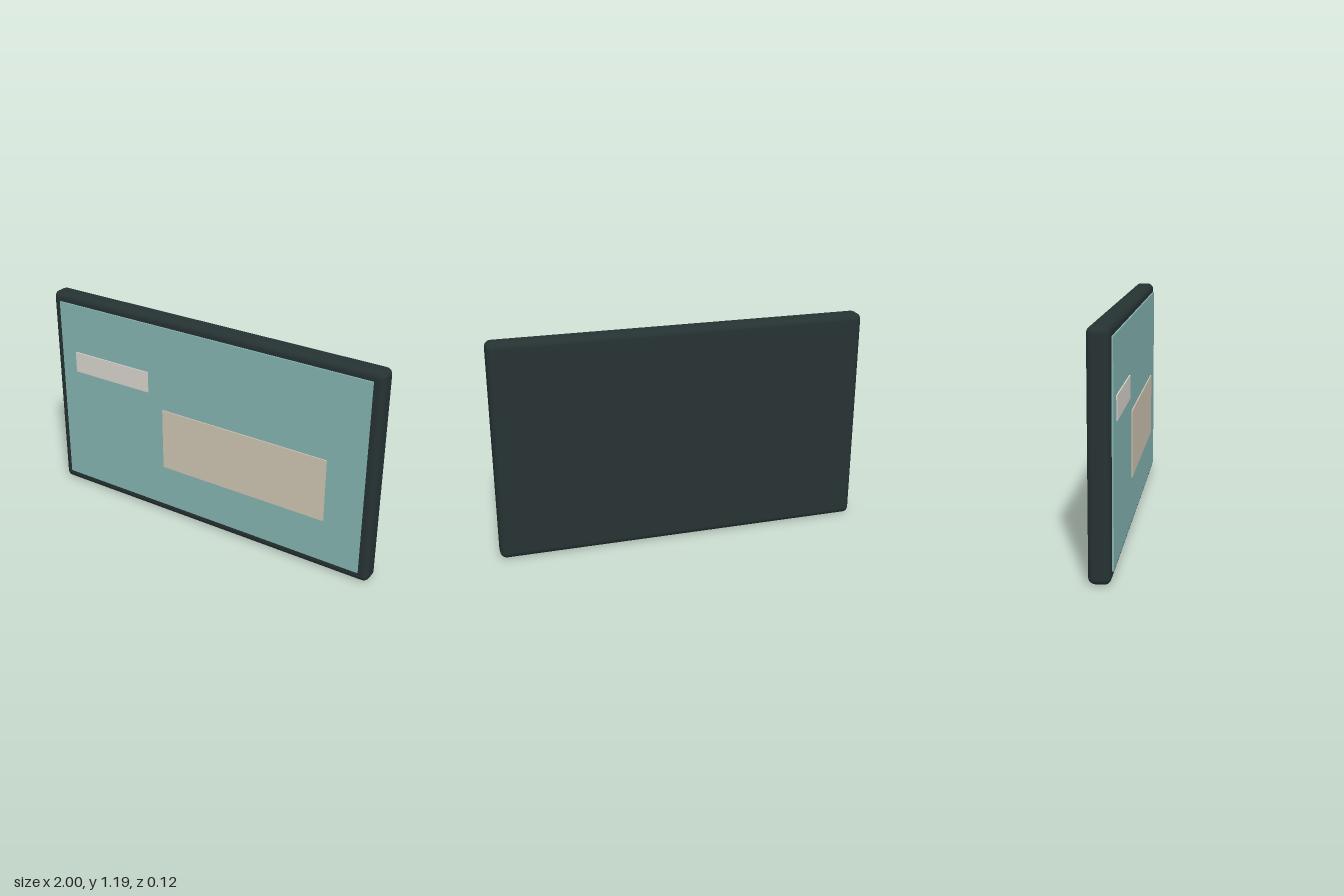
import * as THREE from 'three';
import { RoundedBoxGeometry } from 'three/addons/geometries/RoundedBoxGeometry.js';

export function createModel() {
  const model = new THREE.Group();
  model.name = 'wallDisplay';

  const add = (name, geometry, color, x, y, z) => {
    const mesh = new THREE.Mesh(geometry, new THREE.MeshStandardMaterial({ color }));
    mesh.name = name;
    mesh.position.set(x, y, z);
    model.add(mesh);
  };

  // Flat rectangle given by its edges, standing between back and front depths
  const plate = (name, color, [x0, x1], [y0, y1], [z0, z1]) =>
    add(name, new THREE.BoxGeometry(x1 - x0, y1 - y0, z1 - z0), color,
      (x0 + x1) / 2, (y0 + y1) / 2, (z0 + z1) / 2);

  // Rounded casing
  add('casing', new RoundedBoxGeometry(2, 1.186, 0.108, 3, 0.034), 0x263232, 0, 0.593, -0.006);

  // Screen and the two raised cards on it
  plate('screen', 0x84b4b0, [-0.947, 0.947], [0.056, 1.136], [0.03, 0.056]);
  plate('smallCard', 0xd8d4cc, [-0.85, -0.353], [0.738, 0.857], [0.045, 0.062]);
  plate('largeCard', 0xcec4b0, [-0.259, 0.738], [0.301, 0.655], [0.045, 0.062]);

  return model;
}
